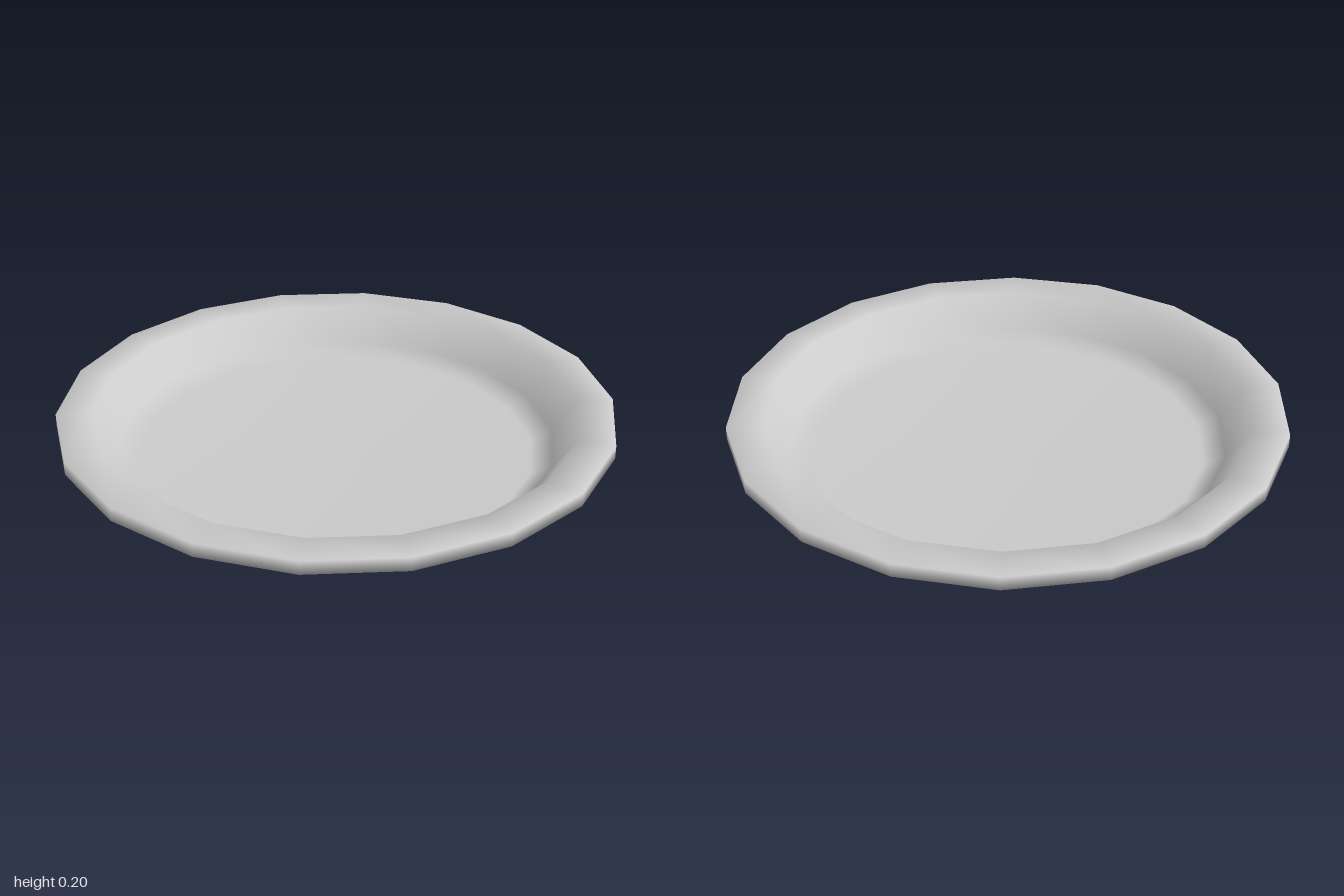
import * as THREE from 'three';

export function createModel() {
  const group = new THREE.Group();
  group.name = 'plate';

  // Closed cross-section: underside, rim, then inside back to the centre
  const profile = [
    [0, 0], [0.72, 0], [0.8, 0.04], [0.885, 0.15], // foot and outer wall
    [1, 0.15], [1, 0.2], [0.87, 0.2],              // flat rim
    [0.785, 0.08], [0.71, 0.04], [0, 0.035],       // inner wall and floor
  ].map(([r, y]) => new THREE.Vector2(r, y));

  // Eighteen-sided, smooth-shaded dish
  const dish = new THREE.Mesh(
    new THREE.LatheGeometry(profile, 18),
    new THREE.MeshStandardMaterial({ color: 0xcccccc })
  );
  dish.name = 'dish';
  group.add(dish);

  return group;
}
